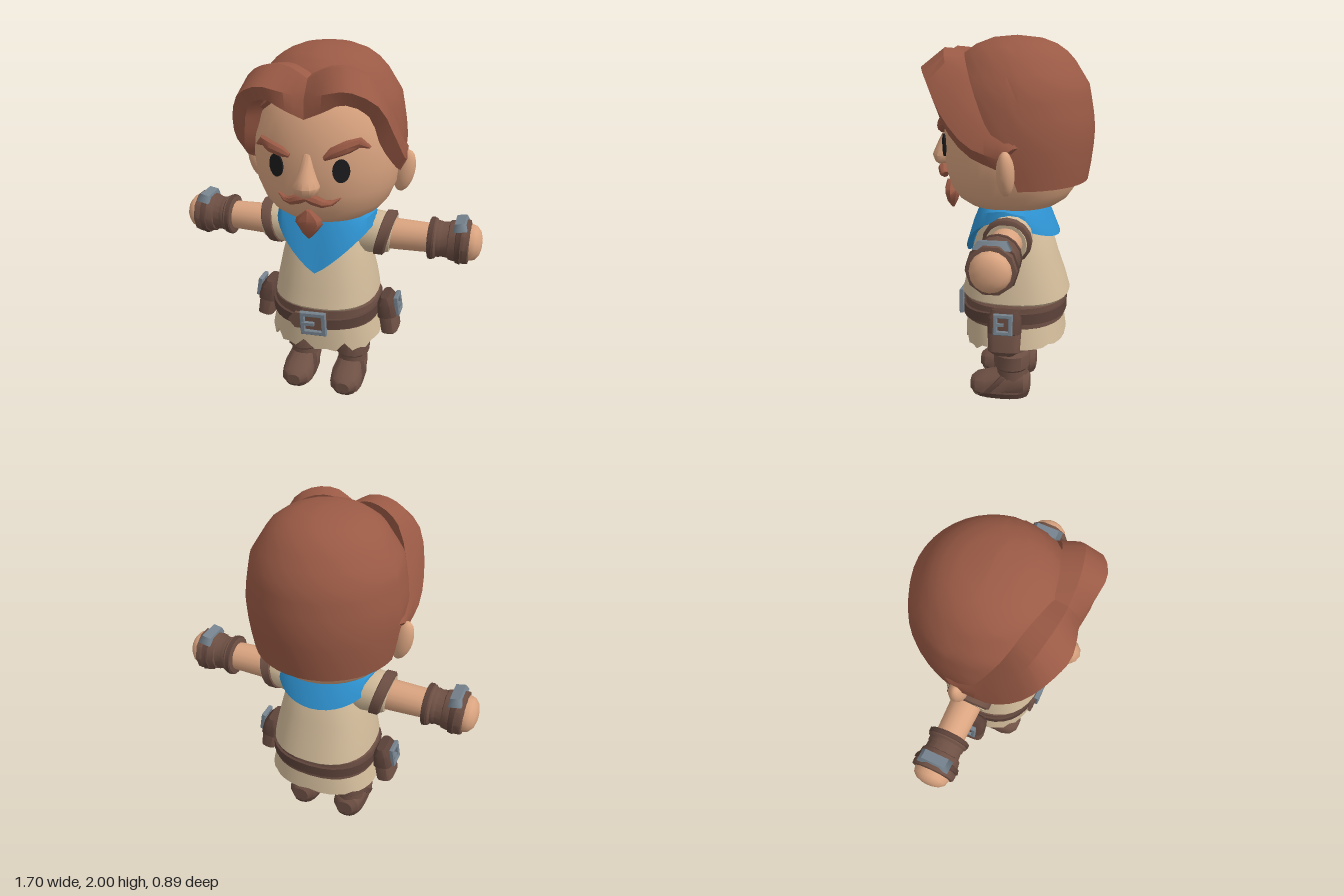
import * as THREE from 'three';
import { toCreasedNormals } from 'three/addons/utils/BufferGeometryUtils.js';

const mat = (name, color) => Object.assign(new THREE.MeshStandardMaterial({ color }), { name });
const M = {
  hair: mat('hair auburn', 0x9a5a45), skin: mat('skin', 0xdaa480), cream: mat('tunic cream', 0xd2bb9a),
  leather: mat('leather brown', 0x6e5044), dark: mat('dark leather', 0x5c4239), blue: mat('scarf blue', 0x2e92d0),
  steel: mat('steel grey', 0x76838e), black: mat('eye black', 0x1c1c1e),
};

// Skin a surface over point rings; winding is fixed from the signed volume
function loft(rings, { cap = true, wrap = false, crease = 0.65 } = {}) {
  const n = rings[0].length, R = rings.length, pos = rings.flat(2), idx = [];
  for (let i = 0; i < (wrap ? R : R - 1); i++) for (let j = 0; j < n; j++) {
    const k = (j + 1) % n, i2 = (i + 1) % R;
    const a = i * n + j, b = i * n + k, c = i2 * n + k, d = i2 * n + j;
    idx.push(a, b, c, a, c, d);
  }
  if (cap && !wrap) [0, R - 1].forEach((r, e) => {
    const m = pos.length / 3;
    pos.push(...[0, 1, 2].map(q => rings[r].reduce((t, p) => t + p[q], 0) / n));
    for (let j = 0; j < n; j++) {
      const a = r * n + j, b = r * n + (j + 1) % n;
      idx.push(...(e ? [a, b, m] : [b, a, m]));
    }
  });
  const v = i => new THREE.Vector3().fromArray(pos, idx[i] * 3);
  let vol = 0;
  for (let i = 0; i < idx.length; i += 3) vol += v(i).dot(v(i + 1).cross(v(i + 2)));
  if (vol < 0) idx.reverse();
  const g = new THREE.BufferGeometry();
  g.setAttribute('position', new THREE.Float32BufferAttribute(pos, 3));
  g.setIndex(idx);
  return toCreasedNormals(g, crease);
}

// Oval ring across an axis; p < 1 makes it boxier
function ring(axis, at, a, b, c1 = 0, c2 = 0, n = 20, p = 1) {
  return Array.from({ length: n }, (_, j) => {
    const t = j / n * Math.PI * 2, f = w => Math.sign(w) * Math.abs(w) ** p;
    const u = c1 + a * f(Math.sin(t)), w = c2 + b * f(Math.cos(t));
    return axis === 'y' ? [u, at, w] : axis === 'z' ? [u, w, at] : [at, u, w];
  });
}
// Rows of [y, rx, rz, cz]
const stack = (rows, cx = 0, n = 20, p = 1) => rows.map(([y, rx, rz, cz = 0]) => ring('y', y, rx, rz, cx, cz, n, p));
// Rows of [x, radius] along the arm, leaning by tilt
const armRings = (s, rows, n = 16, tilt = 0) => rows.map(([x, r]) =>
  ring('x', x, r, r, 0.975, -0.02, n).map(([X, y, z]) => [s * (X + tilt * (y - 0.975)), y, z]));
// Tapered strand through [x, y, z, halfHeight, halfDepth]
function strand(pts) {
  return pts.map(([x, y, z, h, d], i) => {
    const a = pts[Math.max(i - 1, 0)], b = pts[Math.min(i + 1, pts.length - 1)];
    const l = Math.hypot(b[0] - a[0], b[1] - a[1]), nx = -(b[1] - a[1]) / l, ny = (b[0] - a[0]) / l;
    return Array.from({ length: 8 }, (_, j) => {
      const t = j / 8 * Math.PI * 2;
      return [x + nx * h * Math.cos(t), y + ny * h * Math.cos(t), z + d * Math.sin(t)];
    });
  });
}
// Rectangular buckle frame with a prong
function buckle(w, h, t) {
  const box = (o, a, b) => o.moveTo(-a, -b).lineTo(a, -b).lineTo(a, b).lineTo(-a, b).closePath();
  const s = box(new THREE.Shape(), w, h);
  s.holes.push(box(new THREE.Path(), w - t, h - t));
  const g = new THREE.Group();
  const opt = { depth: 0.018, bevelSize: 0.004, bevelThickness: 0.004, bevelSegments: 1 };
  g.add(new THREE.Mesh(new THREE.ExtrudeGeometry(s, opt), M.steel));
  const prong = new THREE.Mesh(new THREE.BoxGeometry(w, t, 0.02), M.steel);
  prong.position.set(-w * 0.4, 0, 0.016);
  g.add(prong);
  return g;
}

export function createModel() {
  const root = new THREE.Group();
  const add = (name, geo, m, x = 0, y = 0, z = 0) => {
    const o = geo.isObject3D ? geo : new THREE.Mesh(geo, m);
    o.name = name;
    o.position.set(x, y, z);
    root.add(o);
    return o;
  };

  // Head
  add('head', loft(stack([[1.1, 0.17, 0.17], [1.115, 0.25, 0.25], [1.15, 0.3, 0.3], [1.2, 0.34, 0.335], [1.3, 0.382, 0.365],
    [1.42, 0.395, 0.375], [1.55, 0.39, 0.37], [1.68, 0.36, 0.34], [1.8, 0.29, 0.28], [1.88, 0.16, 0.16]], 0, 36), { crease: 1 }), M.skin);
  add('nose', loft(stack([[1.31, 0.03, 0.03, 0.395], [1.325, 0.06, 0.05, 0.39], [1.36, 0.07, 0.075, 0.38], [1.4, 0.052, 0.065, 0.372],
    [1.45, 0.036, 0.045, 0.368], [1.52, 0.02, 0.02, 0.355]], 0, 12), { crease: 0.9 }), M.skin);
  add('goatee', loft(stack([[1.06, 0.006, 0.006, 0.345], [1.1, 0.042, 0.03, 0.348], [1.145, 0.074, 0.042, 0.345],
    [1.17, 0.068, 0.045, 0.345], [1.22, 0.012, 0.02, 0.355]], 0, 8)), M.hair);

  // Hair cap with a lower edge that rises towards the forehead
  const prof = [[2, 0.001], [1.99, 0.12], [1.955, 0.215], [1.9, 0.29], [1.75, 0.385], [1.55, 0.42], [1.4, 0.412], [1.25, 0.388]];
  const radius = y => {
    const i = Math.max(1, prof.findIndex(q => q[0] <= y + 1e-6));
    const [y0, r0] = prof[i - 1], [y1, r1] = prof[i];
    return r0 + (r1 - r0) * (y0 - y) / (y0 - y1);
  };
  const capRows = [];
  for (let i = 0; i <= 13; i++) {
    const t = Math.min(i / 12, 1) ** 1.6;
    capRows.push(Array.from({ length: 40 }, (_, j) => {
      const a = j / 40 * Math.PI * 2, c = Math.cos(a);
      const y = 2 - t * (2 - (c < -0.12 ? 1.25 : 1.43 + 0.39 * c));
      const r = radius(y) * (i === 13 ? 0.82 : 1);
      return [r * Math.sin(a), y, r * c - 0.02];
    }));
  }
  add('hairCap', loft(capRows, { crease: 0.8 }), M.hair);

  // Swept fringe: five edge curves through seven sections, one half each side
  const edges = [
    [[0, 1.89, 0.27], [0.1, 1.93, 0.25], [0.2, 1.92, 0.22], [0.29, 1.86, 0.19], [0.37, 1.68, 0.12], [0.4, 1.55, 0.02], [0.4, 1.48, -0.11]],
    [[0, 1.88, 0.34], [0.1, 1.935, 0.34], [0.22, 1.93, 0.32], [0.32, 1.87, 0.29], [0.4, 1.68, 0.2], [0.425, 1.54, 0.1], [0.425, 1.47, -0.06]],
    [[0, 1.8, 0.4], [0.11, 1.83, 0.43], [0.22, 1.85, 0.44], [0.35, 1.78, 0.38], [0.415, 1.62, 0.29], [0.442, 1.48, 0.16], [0.432, 1.42, 0.01]],
    [[0, 1.7, 0.41], [0.1, 1.745, 0.425], [0.19, 1.785, 0.42], [0.3, 1.73, 0.36], [0.35, 1.57, 0.3], [0.4, 1.43, 0.17], [0.4, 1.36, 0.02]],
    [[0, 1.73, 0.28], [0.1, 1.77, 0.28], [0.18, 1.79, 0.26], [0.26, 1.72, 0.23], [0.32, 1.57, 0.19], [0.36, 1.44, 0.11], [0.37, 1.4, -0.02]],
  ];
  const sides = [['left', 1], ['right', -1]];
  for (const [side, s] of sides) {
    const curves = edges.map(e => new THREE.CatmullRomCurve3(e.map(([x, y, z]) => new THREE.Vector3(s * x, y, z))));
    add(side + 'Fringe', loft(Array.from({ length: 15 }, (_, i) => curves.map(c => c.getPoint(i / 14).toArray()))), M.hair);

    // Face details
    const eye = new THREE.CylinderGeometry(1, 1, 0.009, 20).rotateX(Math.PI / 2).scale(0.044, 0.06, 1);
    add(side + 'Eye', eye, M.black, s * 0.168, 1.44, 0.344).rotation.y = s * 0.4;
    const lift = s > 0 ? 0.02 : -0.01;
    add(side + 'Eyebrow', loft(strand([[0.09, 1.505, 0.37, 0.012, 0.015], [0.13, 1.525 + lift / 2, 0.365, 0.028, 0.025],
      [0.2, 1.545 + lift, 0.34, 0.032, 0.028], [0.25, 1.56 + lift, 0.305, 0.028, 0.028], [0.295, 1.53 + lift, 0.27, 0.006, 0.012]]
      .map(([x, ...q]) => [s * x, ...q]))), M.hair);
    add(side + 'Moustache', loft(strand([[0, 1.3, 0.385, 0.018, 0.025], [0.04, 1.29, 0.385, 0.028, 0.03], [0.085, 1.27, 0.372, 0.023, 0.026],
      [0.125, 1.272, 0.355, 0.014, 0.02], [0.165, 1.295, 0.335, 0.003, 0.006]].map(([x, ...q]) => [s * x, ...q]))), M.hair);
    add(side + 'Ear', new THREE.SphereGeometry(1, 14, 10).scale(0.055, 0.118, 0.046), M.skin, s * 0.415, 1.345, -0.025).rotation.z = -s * 0.2;

    // Arm, sleeve, bracer, glove and fist
    add(side + 'Arm', loft(armRings(s, [[0.2, 0.088], [0.4, 0.086], [0.6, 0.08]])), M.skin);
    add(side + 'Sleeve', loft(armRings(s, [[0.13, 0.11], [0.25, 0.122], [0.35, 0.112], [0.37, 0.105]], 16, 0.15)), M.cream);
    add(side + 'SleeveBand', loft(armRings(s, [[0.295, 0.115], [0.3, 0.128], [0.35, 0.128], [0.36, 0.112]], 16, 0.25)), M.leather);
    add(side + 'Bracer', loft(armRings(s, [[0.565, 0.085], [0.57, 0.108], [0.605, 0.112], [0.615, 0.1], [0.63, 0.1],
      [0.64, 0.095], [0.69, 0.1]])), M.leather);
    add(side + 'BracerRim', loft(armRings(s, [[0.57, 0.1], [0.575, 0.116], [0.595, 0.116], [0.6, 0.1]])), M.dark);
    add(side + 'Glove', loft(armRings(s, [[0.67, 0.09], [0.68, 0.108], [0.76, 0.122], [0.785, 0.12], [0.79, 0.1]], 10)), M.leather);
    add(side + 'GloveStrap', loft(armRings(s, [[0.715, 0.11], [0.72, 0.122], [0.745, 0.128], [0.75, 0.115]], 10)), M.dark);
    const plate = add(side + 'GlovePlate', new THREE.CylinderGeometry(0.075, 0.1, 0.04, 4, 1, false, Math.PI / 4).scale(0.5, 1, 1.25), M.steel, s * 0.735, 1.083, -0.02);
    plate.rotation.z = s * 0.2;
    add(side + 'Fist', loft(armRings(s, [[0.74, 0.09], [0.79, 0.1], [0.82, 0.092], [0.842, 0.066], [0.852, 0.03]]), { crease: 0.9 }), M.skin);

    // Leg and boot
    const x = s * 0.15;
    add(side + 'Leg', loft(stack([[0.1, 0.085, 0.09, -0.02], [0.2, 0.082, 0.088, -0.015], [0.42, 0.088, 0.09, -0.01]], x, 14)), M.leather);
    add(side + 'BootCuff', loft(stack([[0.17, 0.09, 0.09, -0.015], [0.185, 0.104, 0.103, -0.015], [0.265, 0.106, 0.104, -0.015],
      [0.285, 0.09, 0.09, -0.015]], x, 14)), M.leather);
    add(side + 'BootFoot', loft([[-0.118, 0.07, 0.05, 0.05], [-0.09, 0.08, 0.08, 0.075], [-0.01, 0.08, 0.092, 0.09], [0.06, 0.06, 0.088, 0.085],
      [0.13, 0.05, 0.094, 0.075], [0.19, 0.05, 0.08, 0.06], [0.222, 0.05, 0.04, 0.035]].map(([z, cy, rx, ry]) =>
      ring('z', z, rx, ry, x, cy, 14, 0.85).map(q => [q[0], Math.max(q[1], 0.02), q[2]]))), M.leather);
    add(side + 'BootStrap', loft([[0.03, 0.086], [0.035, 0.097], [0.07, 0.098], [0.075, 0.086]].map(([z, r]) =>
      ring('z', z, r, r, x, 0.058, 14, 0.85).map(q => [q[0], Math.max(q[1], 0.015), q[2] + 0.1 - q[1]]))), M.dark);
    add(side + 'BootSole', loft(stack([[0, 0.086, 0.162, 0.05], [0.032, 0.095, 0.172, 0.052], [0.04, 0.09, 0.168, 0.052]], x, 20, 0.8)), M.dark);

    // Hip pouch with flap and buckle
    const pouch = add(side + 'Pouch', new THREE.Group(), null, s * 0.365, 0.48, -0.01);
    pouch.rotation.z = s * 0.16;
    const body = stack([[-0.125, 0.03, 0.05], [-0.1, 0.05, 0.085], [0, 0.05, 0.09], [0.09, 0.035, 0.075], [0.11, 0.02, 0.06]], 0, 16, 0.6);
    const flap = stack([[-0.01, 0.045, 0.05], [0, 0.06, 0.09], [0.08, 0.05, 0.09], [0.12, 0.025, 0.07]], 0, 16, 0.6);
    pouch.add(new THREE.Mesh(loft(body), M.leather), new THREE.Mesh(loft(flap), M.dark));
    const clasp = buckle(0.047, 0.052, 0.014);
    clasp.position.set(s * 0.052, 0.055, 0);
    clasp.rotation.y = s * Math.PI / 2;
    pouch.add(clasp);
  }

  // Tunic
  add('tunic', loft(stack([[0.59, 0.285, 0.29, -0.02], [0.605, 0.297, 0.302, -0.02], [0.7, 0.282, 0.278, -0.017], [0.82, 0.256, 0.243, -0.01],
    [0.95, 0.225, 0.205, -0.01], [1.06, 0.18, 0.15], [1.14, 0.13, 0.12]], 0, 32, 0.85)), M.cream);

  // Skirt with a torn hem, longest at the front
  const hem = (rx, rz) => ring('y', 0, rx, rz, 0, -0.02, 40, 0.85).map(([x, , z], j) => {
    const front = z > 0.15;
    return [x, front ? 0.325 + [0, 0.012, 0.0, 0.055][j % 4] : 0.355 + (j % 5 === 0 ? 0.012 : 0), z];
  });
  add('skirt', loft([ring('y', 0.52, 0.29, 0.27, 0, -0.01, 40, 0.85), hem(0.325, 0.285), hem(0.31, 0.27),
    ring('y', 0.52, 0.27, 0.25, 0, -0.01, 40, 0.85)], { wrap: true }), M.cream);
  add('trousers', loft(stack([[0.37, 0.2, 0.13, -0.01], [0.4, 0.28, 0.23, -0.01], [0.5, 0.27, 0.24, -0.01]], 0, 24)), M.dark);

  // Belt, slanted lower strap, tail and buckle
  const belt = (rows, sag) => loft(rows.map(([y, g]) => ring('y', y, 0.3 + g, 0.278 + g, 0, -0.015, 32, 0.85)
    .map(([x, Y, z]) => [x, Y - sag * (z > 0 ? z : 0) + 0.04 * Math.abs(x) * sag * 4, z])));
  add('belt', belt([[0.46, -0.01], [0.47, 0.005], [0.585, 0.002], [0.6, -0.01]], 0), M.leather);
  add('beltStrap', belt([[0.49, -0.005], [0.495, 0.015], [0.555, 0.015], [0.56, -0.005]], 0.08), M.dark);
  const tail = new THREE.Shape([[-0.15, 0], [-0.11, 0.048], [0.05, 0.045], [0.05, -0.045], [-0.11, -0.048]].map(q => new THREE.Vector2(...q)));
  add('beltTail', new THREE.ExtrudeGeometry(tail, { depth: 0.02, bevelEnabled: false }), M.leather, 0, 0.515, 0.268);
  add('beltBuckle', buckle(0.07, 0.066, 0.018), null, 0, 0.512, 0.282).rotation.z = 0.06;

  // Neck scarf: pointed in front, rounded behind
  const scarf = Array.from({ length: 40 }, (_, i) => {
    const a = i / 40 * Math.PI * 2, s = Math.sin(a), c = Math.cos(a);
    const low = c > 0 ? 0.81 + 0.25 * Math.abs(s) ** 1.15 : 1.06 + 0.12 * c;
    return [[0.15, 0.14, 1.1], [0.2, 0.16, 1.145], [0.275, 0.215, 1.115 - (1.06 - low) * 0.5], [0.285, 0.262, low], [0.255, 0.225, low + 0.005]]
      .map(([rx, rz, y]) => [rx * s, y, rz * c]);
  });
  add('scarf', loft(scarf, { wrap: true }), M.blue);

  return root;
}
